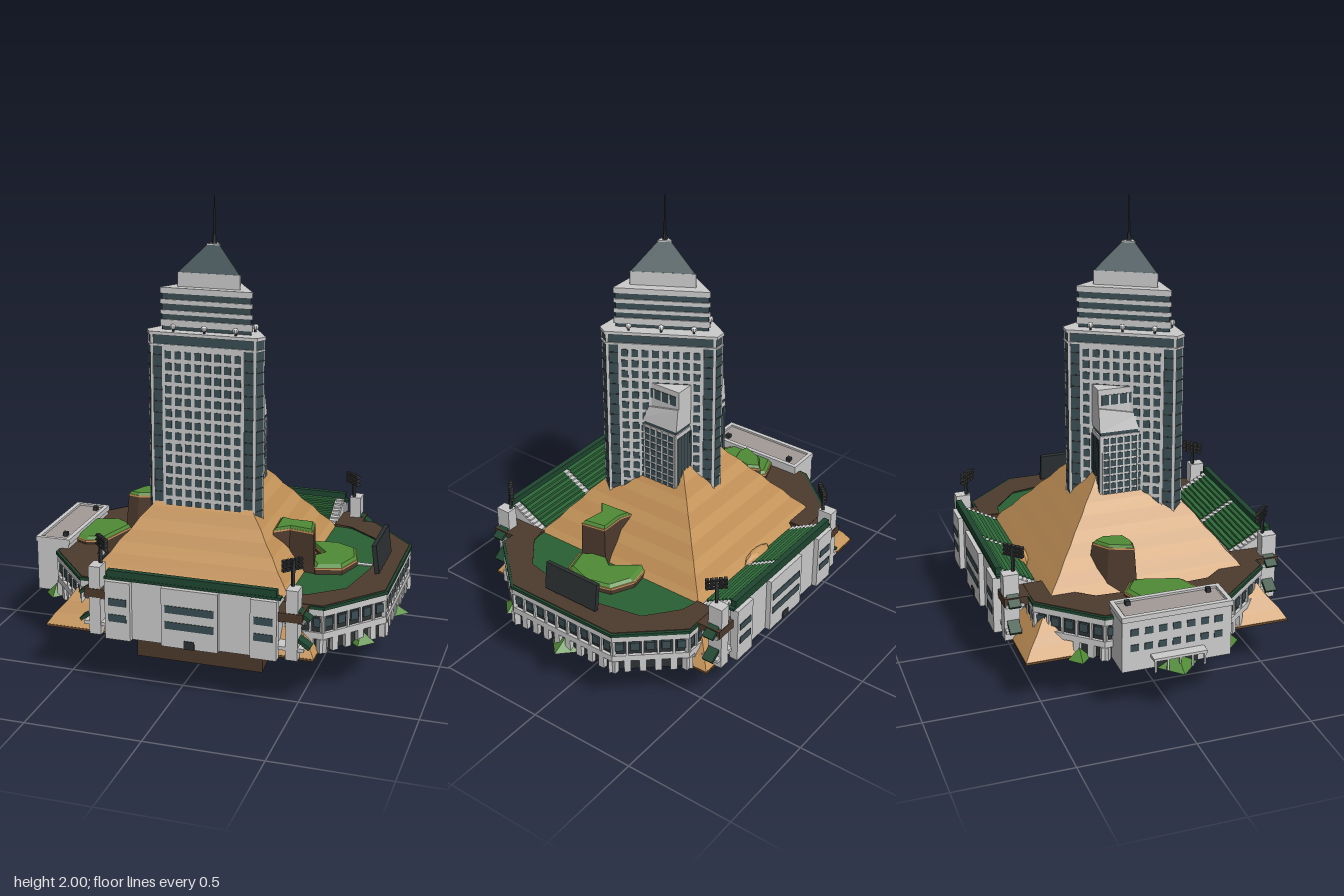
import * as THREE from 'three';

const GREY = 0xcccccc, GLASS = 0x3a4d52, DARK = 0x2c3133, TRIM = 0x1f4630, SEAT = 0x2f6b3a;
const GRASS = 0x4f8a35, EARTH = 0x4d3a2d, SAND = 0xc8975c, SAND2 = 0xbd8c53;
const materials = {};
const mat = (c) => (materials[c] ??= new THREE.MeshStandardMaterial({ color: c, flatShading: true }));

function add(parent, name, color, geo, x = 0, y = 0, z = 0) {
  const m = new THREE.Mesh(geo, mat(color));
  m.name = name;
  m.position.set(x, y, z);
  parent.add(m);
  return m;
}
// box given by its x, y and z ranges
const box = (p, name, c, x0, x1, y0, y1, z0, z1) => add(p, name, c,
  new THREE.BoxGeometry(x1 - x0, y1 - y0, z1 - z0), (x0 + x1) / 2, (y0 + y1) / 2, (z0 + z1) / 2);

function group(parent, name, x = 0, y = 0, z = 0, turn = 0) {
  const g = new THREE.Group();
  g.name = name;
  g.position.set(x, y, z);
  g.rotation.y = turn;
  parent.add(g);
  return g;
}

// closed solid through rings of [x, y, z] points, listed from bottom to top
function loft(rings) {
  const flat = (r) => r.map((p) => new THREE.Vector2(p[0], -p[2]));
  if (THREE.ShapeUtils.isClockWise(flat(rings[0]))) rings = rings.map((r) => [...r].reverse());
  const pos = [], n = rings[0].length, top = rings[rings.length - 1];
  for (let i = 0; i + 1 < rings.length; i++) {
    for (let j = 0; j < n; j++) {
      const k = (j + 1) % n, [a, b] = [rings[i], rings[i + 1]];
      pos.push(...a[j], ...a[k], ...b[k], ...a[j], ...b[k], ...b[j]);
    }
  }
  for (const [a, b, c] of THREE.ShapeUtils.triangulateShape(flat(top), [])) pos.push(...top[a], ...top[b], ...top[c]);
  for (const [a, b, c] of THREE.ShapeUtils.triangulateShape(flat(rings[0]), [])) pos.push(...rings[0][a], ...rings[0][c], ...rings[0][b]);
  const g = new THREE.BufferGeometry();
  g.setAttribute('position', new THREE.Float32BufferAttribute(pos, 3));
  g.computeVertexNormals();
  return g;
}
const ring = (pts, y, s = 1) => pts.map(([x, z]) => [x * s, y, z * s]);
const prism = (pts, y0, y1, s = 1) => loft([ring(pts, y0, s), ring(pts, y1, s)]);
const square = (h) => [[h, h], [h, -h], [-h, -h], [-h, h]];

// triangle with cut corners, its flat side facing front
function triangle(inner, cut) {
  const w = (2 * inner - cut) * Math.tan(Math.PI / 6), pts = [];
  for (let k = 0; k < 3; k++) {
    const a = Math.PI / 3 + k * Math.PI * 2 / 3, s = Math.sin(a), c = Math.cos(a);
    pts.push([s * cut - c * w, c * cut + s * w], [s * cut + c * w, c * cut - s * w]);
  }
  return pts;
}

function buildPit(root) {
  const g = group(root, 'sunkenField');
  const slope = (h, lift) => square(h).map(([x, z]) => [x, lift + 0.06 - z * 0.21, z]);
  add(g, 'pitWalls', EARTH, loft([slope(0.285, 0.003), ring(square(0.285), 0.236)]));
  add(g, 'field', 0x2b4a22, loft([slope(0.235, 0), slope(0.235, 0.01)]));
  add(g, 'upperGrassBand', GRASS, prism(square(0.287), 0.197, 0.236));
  const wedge = [[0.287, 0.287], [0.287, 0.08], [-0.287, 0.08], [-0.287, 0.287]];
  add(g, 'lowerGrassBand', GRASS, loft([wedge.map(([x, z]) => [x, z > 0.1 ? 0.08 : 0.119, z]), ring(wedge, 0.121)]));
  for (let k = 0; k < 4; k++) {
    const side = group(g, 'dugout', 0, 0, 0, k * Math.PI / 2);
    box(side, 'dugoutWall', GREY, -0.09, 0.09, 0.198, 0.236, 0.28, 0.29);
    box(side, 'dugoutOpening', DARK, -0.06, 0.06, 0.2, 0.228, 0.28, 0.292);
  }
}

function buildHill(root) {
  const g = group(root, 'terracedHill');
  add(g, 'ground', 0x6b4a2b, prism(square(0.58), 0.232, 0.242));
  const steps = 14, dy = 0.045;
  const half = (i) => 0.58 - i * dy * 0.78 + (i % 2 ? 0.006 : 0);
  for (let i = 0; i < steps; i++) {
    const y = 0.24 + i * dy;
    add(g, 'hillLayer', i % 2 ? SAND2 : SAND, loft([ring(square(half(i)), y), ring(square(half(i + 1)), y + dy)]));
  }
  add(g, 'hillMound', SAND, new THREE.SphereGeometry(1, 10, 6), 0, 0.43, -0.435).scale.set(0.09, 0.035, 0.03);
}

// cliff with earthen sides, a sandy rim and a grassy top
function rock(root, pts, y0, y1, cx, cz, spread) {
  const g = group(root, 'cliff', cx, 0, cz);
  const local = pts.map(([x, z]) => [x - cx, z - cz]);
  add(g, 'cliffSide', EARTH, loft([ring(local, y0, spread), ring(local, (y0 + y1) / 2, (1 + spread) / 2 - 0.04), ring(local, y1)]));
  add(g, 'cliffRim', SAND, prism(local, y1, y1 + 0.008));
  add(g, 'cliffGrass', GRASS, loft([ring(local, y1 + 0.008, 0.96), ring(local, y1 + 0.02, 0.85)]));
}

function buildLandscape(root) {
  rock(root, [[0.29, 0.03], [0.34, 0.05], [0.45, 0.05], [0.47, 0.16], [0.36, 0.14], [0.3, 0.19]], 0.35, 0.61, 0.38, 0.1, 1.15);
  rock(root, [[0.38, -0.13], [0.5, -0.15], [0.6, -0.1], [0.63, 0.02], [0.59, 0.14], [0.48, 0.17], [0.42, 0.08], [0.48, 0]], 0.25, 0.455, 0.53, 0.01, 1.06);
  rock(root, [[-0.45, -0.07], [-0.41, -0.17], [-0.34, -0.22], [-0.31, -0.17], [-0.33, -0.08], [-0.4, -0.06]], 0.35, 0.61, -0.38, -0.12, 1.35);
  rock(root, [[-0.63, -0.1], [-0.52, -0.14], [-0.43, -0.08], [-0.46, 0.02], [-0.49, 0.13], [-0.57, 0.16], [-0.63, 0.13]], 0.25, 0.455, -0.54, 0, 1.05);
  for (const [x, z, r] of [[-0.77, 0, 0.09], [0.77, 0, 0.09], [-0.67, 0.26, 0.05], [0.72, 0.34, 0.06], [-0.6, -0.36, 0.05]])
    add(root, 'grassTuft', GRASS, new THREE.ConeGeometry(r, 0.05, 4), x, 0.262, z);
}

// straight grandstand, front side facing +z
function buildStand(parent, turn) {
  const g = group(parent, 'grandstand', 0, 0, 0, turn);
  const shape = new THREE.Shape([[0.43, 0.24], [0.615, 0.24], [0.615, 0.51], [0.6, 0.51], [0.43, 0.42]].map(([z, y]) => new THREE.Vector2(-z, y)));
  const geo = new THREE.ExtrudeGeometry(shape, { depth: 0.71, bevelEnabled: false }).rotateY(Math.PI / 2);
  add(g, 'standBody', GREY, geo, -0.355);
  for (let i = 0; i < 8; i++) {
    const z = 0.445 + i * 0.019;
    for (const s of [-1, 1]) box(g, 'seatRow', i % 2 ? SEAT : 0x2a6034, s * 0.165 - 0.15, s * 0.165 + 0.15, 0.4, 0.438 + i * 0.0105, z, z + 0.019);
    for (const x of [-0.335, 0, 0.335]) box(g, 'aisleStep', GREY, x - 0.015, x + 0.015, 0.4, 0.434 + i * 0.0105, z, z + 0.019);
  }
  box(g, 'topTrim', TRIM, -0.36, 0.36, 0.508, 0.538, 0.597, 0.622);
  box(g, 'midTrim', TRIM, -0.375, 0.375, 0.496, 0.506, 0.59, 0.62);
  for (const [x, w] of [[-0.31, 0.055], [0, 0.12], [0.31, 0.055]]) {
    box(g, 'facadeBay', GREY, x - w, x + w, 0.24, 0.495, 0.6, 0.638);
    for (const y of [0.32, 0.39]) box(g, 'facadeWindow', GLASS, x - w + 0.016, x + w - 0.016, y, y + 0.032, 0.62, 0.641);
  }
  box(g, 'door', DARK, -0.022, 0.022, 0.24, 0.275, 0.62, 0.642);
}

// corner deck with pillar, stairs and floodlight
function buildCorner(parent, sx, sz) {
  const g = group(parent, 'cornerTower');
  const span = (name, c, a, b, y0, y1, d, e) => box(g, name, c, Math.min(sx * a, sx * b), Math.max(sx * a, sx * b), y0, y1, Math.min(sz * d, sz * e), Math.max(sz * d, sz * e));
  span('cornerDeck', EARTH, 0.35, 0.465, 0.405, 0.443, 0.42, 0.615);
  span('pillar', GREY, 0.395, 0.445, 0.24, 0.54, 0.545, 0.612);
  for (const y of [0.48, 0.36]) {
    const stair = add(g, 'stairRail', TRIM, new THREE.BoxGeometry(0.1, 0.014, 0.05), sx * 0.45, y - 0.04, sz * 0.575);
    stair.rotation.z = -sx * 0.6;
    span('landing', GREY, 0.35, 0.47, y - 0.08, y - 0.065, 0.53, 0.61);
  }
  const lamp = group(g, 'floodlight', sx * 0.41, 0, sz * 0.56, Math.atan2(-sx, -sz));
  box(lamp, 'pole', DARK, -0.006, 0.006, 0.52, 0.65, -0.006, 0.006);
  for (let r = 0; r < 3; r++) {
    box(lamp, 'lampBar', DARK, -0.045, 0.045, 0.608 + r * 0.018, 0.613 + r * 0.018, -0.004, 0.006);
    for (let i = 0; i < 5; i++) box(lamp, 'lamp', 0x3a3a3a, -0.045 + i * 0.019, -0.031 + i * 0.019, 0.604 + r * 0.018, 0.617 + r * 0.018, 0, 0.016);
  }
}

// angled end wing on the +x side
function buildWing(parent, turn, seats) {
  const g = group(parent, 'wing', 0, 0, 0, turn);
  const outer = [[0.36, -0.51], [0.525, -0.51], [0.735, -0.27], [0.735, 0.27], [0.525, 0.51], [0.36, 0.51]];
  const inner = seats ? [[0.36, 0.43], [0.44, 0.41], [0.575, 0.3], [0.625, 0.06]] : [[0.36, 0.43], [0.44, 0.41], [0.56, 0.25], [0.57, 0.06]];
  const shape = [...outer, ...inner, ...[...inner].reverse().map(([x, z]) => [x, -z])];
  const layers = [['base', DARK, 0.24, 0.3, 0.97], ['ledge', GREY, 0.3, 0.328, 1], ['windowBand', DARK, 0.328, 0.4, 0.982],
    ['upperWall', GREY, 0.4, 0.428, 1], ['rail', TRIM, 0.428, 0.442, 1.006], ['deck', EARTH, 0.442, 0.445, 0.99]];
  for (const [name, c, y0, y1, s] of layers) add(g, name, c, prism(shape, y0, y1, s));
  // columns and windows along the outer wall
  for (let i = 0; i + 1 < outer.length; i++) {
    const [[ax, az], [bx, bz]] = [outer[i], outer[i + 1]];
    const len = Math.hypot(bx - ax, bz - az), n = Math.round(len / 0.06);
    const wall = group(g, 'wallBays', ax, 0, az, Math.atan2(az - bz, bx - ax));
    for (let j = 0; j <= n; j++) {
      const x = j * len / n;
      box(wall, 'baseColumn', GREY, x - 0.014, x + 0.014, 0.24, 0.3, 0.002, 0.028);
      box(wall, 'column', GREY, x - 0.005, x + 0.005, 0.328, 0.4, 0.002, 0.02);
      if (j < n) box(wall, 'pane', GLASS, x + 0.014, x + len / n - 0.014, 0.35, 0.388, 0.004, 0.03);
    }
  }
  if (!seats) return;
  const edge = [...inner, ...[...inner].reverse().map(([x, z]) => [x, -z])];
  for (let k = 0; k < 6; k++) {
    const row = [...edge.map(([x, z]) => [x - k * 0.026 * (x - 0.3) / 0.3, z * (1 - k * 0.012)]), [0.33, -0.35], [0.33, 0.35]];
    add(g, 'seatTier', k % 2 ? SEAT : 0x2a6034, prism(row, 0.26, 0.435 - k * 0.014));
  }
  box(g, 'aisle', GREY, 0.54, 0.64, 0.38, 0.439, -0.012, 0.012);
  const board = add(g, 'scoreboard', DARK, new THREE.BoxGeometry(0.02, 0.125, 0.27), 0.655, 0.517, 0);
  board.rotation.z = 0.13;
  for (const z of [-0.08, 0.08]) box(g, 'boardPost', DARK, 0.65, 0.664, 0.44, 0.48, z - 0.006, z + 0.006);
}

function buildAnnex(root) {
  const g = group(root, 'annex');
  box(g, 'annexBlock', GREY, -0.77, -0.62, 0.24, 0.478, -0.235, 0.235);
  box(g, 'annexRoof', 0xa39a96, -0.752, -0.638, 0.47, 0.481, -0.215, 0.215);
  for (const x of [-0.775, -0.635]) box(g, 'parapet', GREY, x, x + 0.02, 0.465, 0.488, -0.238, 0.238);
  for (const z of [-0.238, 0.22]) box(g, 'parapet', GREY, -0.775, -0.615, 0.465, 0.488, z, z + 0.018);
  for (const z of [-0.175, 0.175]) box(g, 'roofVent', DARK, -0.668, -0.648, 0.48, 0.5, z - 0.01, z + 0.01);
  for (const y of [0.33, 0.4]) for (let i = 0; i < 7; i++)
    box(g, 'annexWindow', GLASS, -0.773, -0.76, y, y + 0.03, -0.2 + i * 0.06, -0.165 + i * 0.06);
  box(g, 'porchRoof', GREY, -0.815, -0.765, 0.292, 0.304, -0.115, 0.115);
  for (let i = 0; i < 5; i++) box(g, 'porchPost', GREY, -0.811, -0.803, 0.24, 0.295, -0.11 + i * 0.053, -0.102 + i * 0.053);
  box(g, 'entrance', DARK, -0.774, -0.76, 0.24, 0.285, -0.09, 0.09);
}

function buildTower(root) {
  const g = group(root, 'tower', 0, 0, 0.06);
  add(g, 'glassShaft', GLASS, prism(triangle(0.157, 0.277), 0.5, 1.44));
  for (let y = 0.6; y < 1.4; y += 0.05) add(g, 'floorLine', DARK, prism(triangle(0.1585, 0.2785), y, y + 0.005));
  add(g, 'shaftCornice', GREY, prism(triangle(0.162, 0.283), 1.392, 1.4));
  add(g, 'shaftRoof', GREY, prism(triangle(0.163, 0.284), 1.438, 1.452));
  add(g, 'crownGlass', GLASS, prism(triangle(0.113, 0.223), 1.45, 1.62));
  for (const [y0, y1] of [[1.468, 1.495], [1.518, 1.535], [1.562, 1.58], [1.606, 1.63]])
    add(g, 'crownBand', GREY, prism(triangle(0.117, 0.231), y0, y1));
  add(g, 'roofBase', GREY, prism(triangle(0.08, 0.157), 1.63, 1.69));
  add(g, 'glassRoof', GLASS, loft([ring(triangle(0.079, 0.154), 1.69), ring(triangle(0.017, 0.032), 1.8)]));
  add(g, 'roofCap', GREY, prism(triangle(0.018, 0.034), 1.798, 1.804));
  add(g, 'spireBase', DARK, new THREE.CylinderGeometry(0.007, 0.012, 0.04, 8), 0, 1.82, 0);
  add(g, 'spire', DARK, new THREE.CylinderGeometry(0.002, 0.006, 0.17, 8), 0, 1.915, 0);
  for (let k = 0; k < 3; k++) {
    const face = group(g, 'towerFace', 0, 0, 0, k * Math.PI * 2 / 3);
    box(face, 'stonePanel', GREY, -0.178, 0.178, 0.55, 1.392, 0.14, 0.162);
    for (const s of [-1, 1]) box(face, 'edgeStrip', GREY, s * 0.224 - 0.006, s * 0.224 + 0.006, 0.55, 1.44, 0.145, 0.16);
    for (let r = 0; r < 14; r++) for (let c = 0; c < 8; c++) {
      const x = -0.151 + c * 0.0431, y = 0.69 + r * 0.05;
      box(face, 'window', GLASS, x - 0.014, x + 0.014, y, y + 0.033, 0.15, 0.164);
    }
    for (const x of [-0.135, 0, 0.135]) {
      box(face, 'dishStand', DARK, x - 0.004, x + 0.004, 1.45, 1.47, 0.138, 0.146);
      add(face, 'dish', GREY, new THREE.SphereGeometry(0.013, 8, 6), x, 1.473, 0.145);
    }
  }
  // stepped side bays behind the shaft
  for (const s of [-1, 1]) {
    const bay = group(g, 'sideBay', s * 0.1, 0, 0);
    const wide = (name, c, w, y0, y1, z0, z1) => box(bay, name, c, -w, w, y0, y1, z0, z1);
    wide('lowerBay', GREY, 0.08, 0.55, 1.02, -0.19, 0.02);
    for (let r = 0; r < 9; r++) wide('bayGlass', GLASS, 0.0825, 0.71 + r * 0.034, 0.735 + r * 0.034, -0.18, 0.01);
    for (let i = 0; i < 7; i++) {
      const z = -0.178 + i * 0.031;
      wide('bayMullion', GREY, 0.0835, 0.7, 1.02, z - 0.003, z + 0.003);
      box(bay, 'backMullion', GLASS, -0.075 + i * 0.022, -0.06 + i * 0.022, 0.7, 1.0, -0.193, -0.18);
    }
    const slope = [[-0.08, -0.19], [0.08, -0.19], [0.08, 0.02], [-0.08, 0.02]];
    add(bay, 'slopedCap', GREY, loft([ring(slope, 1.035), slope.map(([x, z]) => [x * 0.85, z < 0 ? 1.14 : 1.1, z < 0 ? z : z - 0.03])]));
    wide('bayGap', GLASS, 0.076, 1.018, 1.037, -0.185, 0.015);
    wide('upperBay', GREY, 0.06, 1.1, 1.22, -0.19, -0.015);
    wide('upperBayGlass', GLASS, 0.062, 1.15, 1.195, -0.175, -0.03);
    for (const z of [-0.14, -0.1, -0.06]) wide('upperMullion', GREY, 0.063, 1.15, 1.195, z - 0.004, z + 0.004);
  }
}

export function createModel() {
  const root = new THREE.Group();
  root.name = 'stadiumTower';
  buildPit(root);
  buildHill(root);
  buildLandscape(root);
  const stadium = group(root, 'stadium', 0.075);
  for (const turn of [0, Math.PI]) {
    buildStand(stadium, turn);
    buildWing(stadium, turn, turn === 0);
  }
  for (const sx of [-1, 1]) for (const sz of [-1, 1]) buildCorner(stadium, sx, sz);
  buildAnnex(root);
  buildTower(root);
  return root;
}
